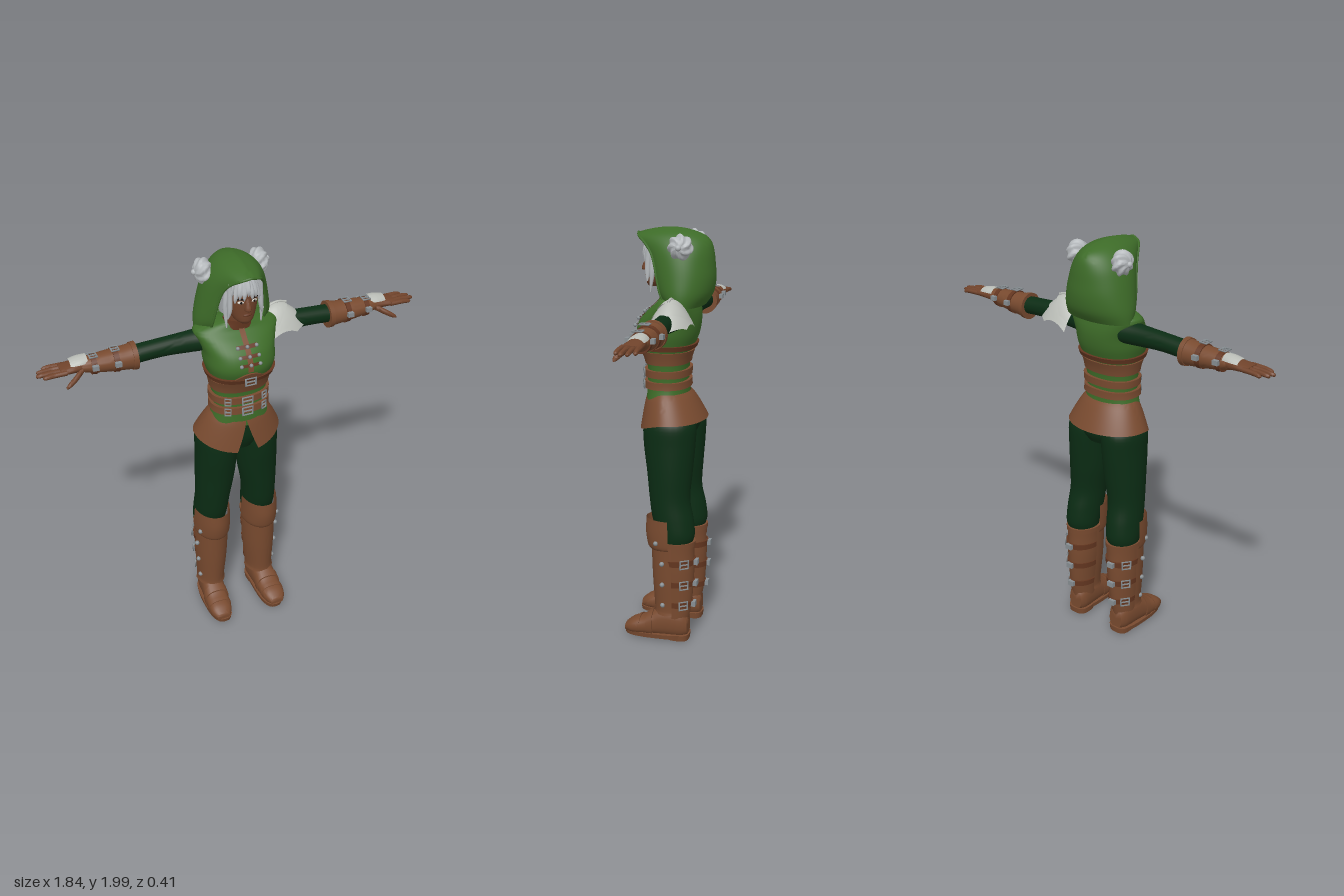
import * as THREE from 'three';
import { mergeVertices, toCreasedNormals } from 'three/addons/utils/BufferGeometryUtils.js';

const mat = (name, color, side = THREE.DoubleSide) => {
  const m = new THREE.MeshStandardMaterial({ color, side });
  m.name = name;
  return m;
};
const M = {
  green: mat('green cloth', 0x3d6b28), dark: mat('dark green cloth', 0x0b2c14),
  leather: mat('leather', 0x784a2f), strap: mat('dark leather', 0x633620),
  skin: mat('skin', 0x70432b), hair: mat('silver hair', 0xb4b8bb),
  metal: mat('metal', 0x878e92), plate: mat('pale plate', 0xb9bcb6),
  black: mat('near black', 0x1a1412), white: mat('eye white', 0xd8d4cc),
};
const { PI, sin, cos, abs, sign, max, min, pow } = Math;
const lerp = THREE.MathUtils.lerp;

// Surface over u, v in 0..1; faces point along v x u.
function grid(nu, nv, fn, crease = 0.9) {
  const pos = [], idx = [], w = nu + 1;
  for (let j = 0; j <= nv; j++) for (let i = 0; i <= nu; i++) pos.push(...fn(i / nu, j / nv, j));
  for (let j = 0; j < nv; j++) for (let i = 0; i < nu; i++) {
    const p = j * w + i;
    idx.push(p, p + w, p + 1, p + 1, p + w, p + w + 1);
  }
  const g = new THREE.BufferGeometry();
  g.setAttribute('position', new THREE.Float32BufferAttribute(pos, 3));
  g.setIndex(idx);
  return toCreasedNormals(mergeVertices(g), crease);
}
// Smooth in-between rows through a list of number rows
function smooth(rows, k = 5) {
  const out = [];
  const at = i => rows[max(0, min(rows.length - 1, i))];
  for (let i = 0; i < rows.length - 1; i++) for (let s = 0; s < k; s++) {
    const t = s / k;
    out.push(rows[i].map((_, c) => {
      const [a, b, d, e] = [at(i - 1)[c], at(i)[c], at(i + 1)[c], at(i + 2)[c]];
      return b + 0.5 * t * (d - a + t * (2 * a - 5 * b + 4 * d - e + t * (3 * (b - d) + e - a)));
    }));
  }
  return [...out, rows[rows.length - 1]];
}
const sup = (v, p) => sign(v) * pow(abs(v), 2 / p);
// Rows are [position, centre1, centre2, radius1, radius2]; y uses (x,z), x uses (z,y), z uses (y,x).
function loft(rows, { axis = 'y', p = 2, n = 28, a0 = 0, a1 = 2 * PI, caps = true, k = 5 } = {}) {
  let r = smooth(rows, k);
  const cap = q => [q[0], q[1], q[2], 0, 0];
  if (caps) r = [cap(r[0]), ...r, cap(r[r.length - 1])];
  return grid(n, r.length - 1, (u, v, j) => {
    const [t, c1, c2, r1, r2] = r[j], a = lerp(a0, a1, u);
    const f = c1 + r1 * sup(cos(a), p), s = c2 + r2 * sup(sin(a), p);
    return axis === 'y' ? [f, t, s] : axis === 'x' ? [t, s, f] : [s, f, t];
  });
}
function add(parent, name, geo, material, pos, rot) {
  const m = new THREE.Mesh(geo, material);
  m.name = name;
  if (pos) m.position.set(...pos);
  if (rot) m.rotation.set(...rot);
  parent.add(m);
  return m;
}
const group = (parent, name) => { const g = new THREE.Group(); g.name = name; parent.add(g); return g; };
const box = (x, y, z) => new THREE.BoxGeometry(x, y, z);
// Square frame with a prong
function buckle(parent, pos, w, h, rot) {
  const g = group(parent, 'buckle');
  add(g, 'buckleFrame', new THREE.TorusGeometry(0.7, 0.13, 6, 4).rotateZ(PI / 4).scale(w, h, 0.03), M.metal);
  add(g, 'buckleProng', box(w * 1.1, 0.005, 0.006), M.metal);
  g.position.set(...pos);
  g.rotation.set(...(rot || [0, 0, 0]));
}
// Baked copy on the other side of x = 0
function mirrored(src, name) {
  const out = new THREE.Group();
  out.name = name;
  src.updateMatrixWorld(true);
  src.traverse(o => {
    if (!o.isMesh) return;
    const g = o.geometry.clone().applyMatrix4(o.matrixWorld).applyMatrix4(new THREE.Matrix4().makeScale(-1, 1, 1));
    const i = g.index ? [...g.index.array] : Array.from({ length: g.attributes.position.count }, (_, q) => q);
    for (let q = 0; q < i.length; q += 3) [i[q + 1], i[q + 2]] = [i[q + 2], i[q + 1]];
    g.setIndex(i);
    add(out, o.name, g, o.material);
  });
  return out;
}

// Torso outline, from [y, half width, front z, back z]
const TP = 2.3;
const torso = [[1.17, .15, .12, -.085], [1.25, .13, .115, -.075], [1.32, .13, .113, -.075], [1.38, .134, .12, -.08],
  [1.44, .148, .148, -.1], [1.5, .164, .168, -.123], [1.56, .168, .152, -.133], [1.61, .185, .11, -.13],
  [1.65, .198, .065, -.118], [1.675, .15, .05, -.1], [1.695, .065, .045, -.06]]
  .map(([y, w, f, b]) => [y, 0, (f + b) / 2, w, (f - b) / 2]);
const dense = smooth(torso, 8);
function torsoAt(y) {
  let i = dense.findIndex(r => r[0] >= y);
  i = max(1, i);
  const t = (y - dense[i - 1][0]) / (dense[i][0] - dense[i - 1][0]);
  return dense[i].map((v, c) => lerp(dense[i - 1][c], v, t));
}
function frontZ(x, y) {
  const [, , c, rx, rz] = torsoAt(y);
  return c + rz * pow(max(0, 1 - pow(abs(x) / rx, TP)), 1 / TP);
}
// Raised band around the torso; lo and hi give its edges by angle
const band = (lo, hi, off) => grid(48, 5, (u, v, j) => {
  const a = u * 2 * PI, y = lerp(lo(a), hi(a), min(1, max(0, (j - 1) / 3))), o = j === 0 || j === 5 ? -.004 : off;
  const [, , c, rx, rz] = torsoAt(y);
  return [(rx + o) * sup(cos(a), TP), y, c + (rz + o) * sup(sin(a), TP)];
});
// Plate lying on the chest
const patch = (x, w, y0, y1, off) => grid(4, 8, (u, v) => {
  const px = x + w * (0.5 - u), y = lerp(y0, y1, v);
  return [px, y, frontZ(px, y) + off];
});

function buildBody(root) {
  const g = group(root, 'body');
  add(g, 'vest', loft(torso, { p: TP, n: 48 }), M.green);
  add(g, 'underbustCorset', band(() => 1.365, a => 1.425 + .065 * pow(max(0, sin(a)), 8), .008), M.leather);
  add(g, 'bustStrap', band(() => 1.435, () => 1.458, .013), M.strap);
  [1.32, 1.265].forEach(y => {
    add(g, 'waistBelt', band(() => y - .017, () => y + .017, .014), M.leather);
    buckle(g, [0, y, frontZ(0, y) + .022], .05, .04);
    [-.09, .09].forEach(x => buckle(g, [x, y, frontZ(x, y) + .022], .028, .036, [0, x * 5, 0]));
  });
  buckle(g, [0, 1.447, frontZ(0, 1.447) + .02], .05, .035);
  // Chest closing with toggles
  add(g, 'placket', patch(0, .026, 1.5, 1.68, .006), M.leather);
  [1.535, 1.57, 1.605].forEach(y => {
    add(g, 'toggleStrap', patch(0, .1, y - .007, y + .007, .01), M.strap);
    [-.045, .045, 0].forEach(x => add(g, 'toggle', new THREE.SphereGeometry(.009, 10, 8), M.metal, [x, y, frontZ(x, y) + .012]));
  });
  add(g, 'collar', loft([[1.66, 0, 0, .085, .062], [1.685, 0, .003, .07, .06], [1.705, 0, .008, .062, .056]]), M.strap);
  // Flared skirt with a front split
  add(g, 'skirt', grid(64, 10, (u, v) => {
    const gap = .01 + .24 * v, a = lerp(gap, 2 * PI - gap, u), e = pow(v, .8);
    const hem = 1.095 - .055 * pow(max(0, cos(a)), 1.5), f = lerp(.122, .15, e), b = lerp(-.085, -.168, e);
    return [lerp(.137, .212, e) * sin(a), lerp(1.225 - .025 * max(0, cos(a)), hem, v), (f + b) / 2 + (f - b) / 2 * cos(a)];
  }), M.leather);
  add(g, 'hips', loft([[1.02, 0, -.012, .1, .1], [1.09, 0, -.012, .185, .125], [1.19, 0, .01, .14, .1]]), M.dark);
}

function buildHead(root) {
  const g = group(root, 'head');
  add(g, 'neck', loft([[1.6, 0, -.01, .055, .05], [1.76, 0, .025, .045, .045]]), M.skin);
  add(g, 'face', loft([[1.718, 0, .092, .02, .022], [1.735, 0, .075, .044, .05], [1.775, 0, .053, .064, .075], [1.83, 0, .042, .076, .088],
    [1.89, 0, .035, .08, .092], [1.94, 0, .025, .06, .07], [1.96, 0, .02, .02, .03]]), M.skin);
  add(g, 'nose', loft([[1.793, 0, .128, .015, .02], [1.805, 0, .13, .015, .02], [1.85, 0, .122, .008, .008]], { n: 12 }), M.skin);
  add(g, 'mouth', new THREE.SphereGeometry(1, 14, 8).scale(.021, .007, .009), M.strap, [0, 1.768, .124]);
  [-1, 1].forEach(s => {
    add(g, 'eye', new THREE.SphereGeometry(1, 12, 8).scale(.015, .007, .004), M.white, [s * .032, 1.834, .124], [0, s * .3, 0]);
    add(g, 'iris', new THREE.CircleGeometry(.006, 12), M.black, [s * .031, 1.834, .129], [0, s * .3, 0]);
    add(g, 'brow', box(.032, .005, .006), M.black, [s * .033, 1.85, .125], [0, s * .3, s * .12]);
  });
  // Hair: cap, fringe, side locks and ridged buns
  add(g, 'hairCap', loft([[1.72, 0, -.03, .07, .06], [1.82, 0, -.01, .086, .075], [1.9, 0, .018, .088, .1], [1.95, 0, .025, .062, .08], [1.975, 0, .02, .02, .03]]), M.hair);
  for (let i = -4; i <= 4; i++) {
    const x = i * .017, tip = 1.862 - .012 * (abs(i) % 2) - abs(i) * .006, z = .136 - x * x * 7;
    add(g, 'fringeLock', loft([[tip, x * 1.1, z, .002, .002], [tip + .035, x, z, .012, .007], [1.955, x * .6, .1, .012, .01]], { n: 10 }), M.hair);
  }
  [-1, 1].forEach(s => {
    [0, 1].forEach(k => add(g, 'sideLock', loft([[1.7 + k * .05, s * .082, .085 + k * .015, .003, .003], [1.8, s * (.085 - k * .012), .075 + k * .025, .011, .014],
      [1.92, s * .07, .07 + k * .02, .012, .018]], { n: 10 }), M.hair));
    add(g, 'bun', grid(42, 16, (u, v) => {
      const a = u * 2 * PI, t = v * PI, r = .056 * (1 + .1 * sin(t) * cos(7 * a + 4 * t));
      return [s * (.132 - .75 * r * cos(t)), 1.915 + r * sin(t) * cos(a), -.07 + s * r * sin(t) * sin(a)];
    }), M.hair);
    add(g, 'bunCentre', new THREE.SphereGeometry(.014, 12, 8), M.hair, [s * .172, 1.915, -.07]);
  });
}

function buildHood(root) {
  const g = group(root, 'hood');
  const rows = smooth([[0, 1, -.01, -.155], [.15, 1, .025, -.19], [.35, .93, .045, -.203], [.55, .84, .06, -.2], [.72, .73, .08, -.195],
    [.86, .56, .115, -.185], [.95, .34, .15, -.165], [1, 0, .165, -.14]], 4);
  const t0 = .78, point = (u, j) => {
    const [s, w, f, b] = rows[j], a = lerp(t0, 2 * PI - t0, u), q = (1 + cos(a)) / (1 + cos(t0));
    const drop = s * s * (.035 * pow(q, 3) + .035 * pow(1 - q, 4));
    return [.18 * w * sin(a), 1.64 + .36 * s - drop, b + (f - b) * q];
  };
  add(g, 'hoodCloth', grid(40, rows.length - 1, (u, v, j) => point(u, j), 1.3), M.green);
  // Rolled rim round the face opening
  const up = rows.map((_, j) => new THREE.Vector3(...point(0, j)));
  const down = rows.map((_, j) => new THREE.Vector3(...point(1, j))).reverse().slice(1);
  add(g, 'hoodRim', new THREE.TubeGeometry(new THREE.CatmullRomCurve3([...up, ...down]), 90, .006, 8), M.green);
}

function buildArm() {
  const g = new THREE.Group(), X = { axis: 'x' };
  g.name = 'leftArm';
  add(g, 'sleeve', loft([[.13, -.04, 1.59, .06, .055], [.22, -.04, 1.59, .048, .05], [.35, -.04, 1.59, .043, .043], [.5, -.04, 1.582, .045, .042]], X), M.dark);
  add(g, 'gauntlet', loft([[.475, -.04, 1.578, .06, .061], [.52, -.04, 1.578, .057, .055], [.6, -.04, 1.58, .052, .048], [.68, -.04, 1.583, .043, .038], [.72, -.042, 1.585, .036, .028]], X), M.leather);
  add(g, 'gauntletCuff', loft([[.468, -.04, 1.578, .064, .065], [.49, -.04, 1.578, .063, .063]], X), M.leather);
  [[.565, .06, .057], [.665, .05, .046]].forEach(([x, rz, ry]) => {
    add(g, 'wristStrap', loft([[x - .012, -.04, 1.58, rz, ry], [x + .012, -.04, 1.58, rz - .002, ry - .002]], X), M.strap);
    buckle(g, [x, 1.58 + ry + .004, -.03], .034, .04, [-PI / 2, 0, 0]);
    [1, -1].forEach(s => add(g, 'strapEnd', box(.028, .022, .018), M.metal, [x, 1.59, -.04 + s * (rz + .005)]));
  });
  add(g, 'palm', loft([[.69, -.045, 1.585, .033, .026], [.75, -.043, 1.586, .041, .021], [.815, -.04, 1.584, .045, .014]], { axis: 'x', p: 2.6 }), M.skin);
  [[-.075, .885], [-.052, .912], [-.027, .92], [-.003, .895]].forEach(([z, end]) => add(g, 'finger',
    loft([[.79, z, 1.585, .012, .012], [.85, z * 1.06, 1.584, .011, .011], [end - .01, z * 1.1, 1.58, .009, .009], [end, z * 1.1, 1.579, .004, .004]], { axis: 'x', n: 12 }), M.skin));
  add(g, 'thumb', loft([[.715, -.02, 1.575, .018, .016], [.755, .012, 1.556, .015, .015], [.79, .028, 1.538, .011, .012], [.805, .032, 1.53, .005, .005]], { axis: 'x', n: 12 }), M.skin);
  add(g, 'handPlate', loft([[.69, -.05, 1.592, .04, .036], [.73, -.05, 1.592, .044, .034], [.768, -.05, 1.592, .038, .026]], { axis: 'x', a0: .35, a1: PI - .35, caps: false }), M.plate);
  return g;
}

function buildLeg() {
  const g = new THREE.Group();
  g.name = 'leftLeg';
  add(g, 'trouserLeg', loft([[.49, .13, -.045, .07, .08], [.54, .13, -.052, .08, .09], [.62, .127, -.035, .083, .1], [.72, .121, -.018, .086, .098],
    [.85, .11, -.015, .097, .11], [.98, .104, -.012, .1, .124], [1.08, .1, -.012, .1, .126], [1.13, .09, -.01, .08, .1]]), M.dark);
  add(g, 'bootShaft', loft([[.1, .136, -.045, .055, .07], [.2, .134, -.045, .061, .087], [.35, .13, -.045, .074, .096], [.45, .129, -.042, .077, .098], [.51, .128, -.042, .08, .1]]), M.leather);
  add(g, 'bootTopTrim', loft([[.487, .128, -.042, .083, .103], [.512, .128, -.042, .084, .104]]), M.leather);
  // Front plates
  const front = { a0: -.12, a1: PI + .12, caps: false };
  add(g, 'shinGuard', loft([[.135, .136, -.038, .074, .092], [.17, .135, -.038, .07, .09], [.32, .131, -.035, .08, .098], [.49, .128, -.035, .084, .105]], front), M.leather);
  add(g, 'kneeGuard', loft([[.465, .128, -.03, .074, .105], [.485, .128, -.03, .088, .118], [.55, .128, -.03, .09, .128], [.625, .127, -.025, .087, .12]], { ...front, a0: -.02, a1: PI + .02 }), M.leather);
  // Calf straps, buckles and rivets
  [[.41, .081, .103], [.3, .075, .1], [.19, .066, .092]].forEach(([y, rx, rz]) => {
    add(g, 'calfStrap', loft([[y - .014, .131, -.045, rx, rz], [y + .014, .131, -.045, rx + .001, rz + .001]]), M.strap);
    buckle(g, [.131 + rx * .84, y, -.045 - rz * .62], .042, .04, [0, 2.2, 0]);
    add(g, 'strapEnd', box(.034, .026, .022), M.metal, [.136, y, -.045 - rz - .004]);
    add(g, 'rivet', new THREE.SphereGeometry(.012, 10, 8), M.metal, [.135 + rx, y, -.002]);
  });
  add(g, 'kneeRivet', new THREE.SphereGeometry(.012, 10, 8), M.metal, [.208, .51, .03]);
  // Foot
  add(g, 'bootFoot', loft([[-.115, .075, .135, .05, .038], [-.08, .085, .136, .075, .054], [0, .09, .14, .08, .058], [.05, .078, .143, .065, .059],
    [.1, .062, .146, .048, .06], [.16, .052, .149, .036, .055], [.197, .042, .15, .018, .034]], { axis: 'z', p: 2.4 }), M.leather);
  add(g, 'instepStrap', loft([[.055, .077, .144, .07, .063], [.085, .068, .145, .058, .064]], { axis: 'z', p: 2.4 }), M.leather);
  add(g, 'toeCap', loft([[.12, .06, .147, .047, .061], [.135, .057, .148, .044, .061]], { axis: 'z', p: 2.4 }), M.leather);
  add(g, 'sole', loft([[.008, .143, .042, .058, .158], [.03, .143, .042, .061, .163]], { p: 2.7 }), M.leather);
  add(g, 'heel', loft([[0, .137, -.065, .052, .055], [.03, .137, -.065, .055, .058]], { p: 3 }), M.leather);
  return g;
}

// Overlapping shoulder plates on the left only
function buildPauldron(root) {
  const g = group(root, 'pauldron');
  [[.36, -.012, 1], [.315, 0, .95], [.265, .011, .88]].forEach(([end, lift, k]) => add(g, 'shoulderPlate', grid(20, 12, (u, v) => {
    const s = 2 * u - 1, x = lerp(.15, end - .075 * s * s, v), t = (x - .15) / .21;
    const top = 1.655 + .16 * t - .24 * t * t, hw = (.1 - .015 * t) * k;
    return [x, top + lift - (.095 - .03 * t) * s * s, -.05 - s * hw];
  }), M.plate));
  add(g, 'pauldronRidge', new THREE.TubeGeometry(new THREE.CatmullRomCurve3([[.17, 1.68], [.22, 1.695], [.265, 1.686]]
    .map(([x, y]) => new THREE.Vector3(x, y, -.05))), 16, .006, 8), M.plate);
}

export function createModel() {
  const root = new THREE.Group();
  root.name = 'hoodedArcher';
  [buildBody, buildHead, buildHood, buildPauldron].forEach(f => f(root));
  const arm = buildArm(), leg = buildLeg();
  root.add(arm, mirrored(arm, 'rightArm'), leg, mirrored(leg, 'rightLeg'));
  return root;
}
